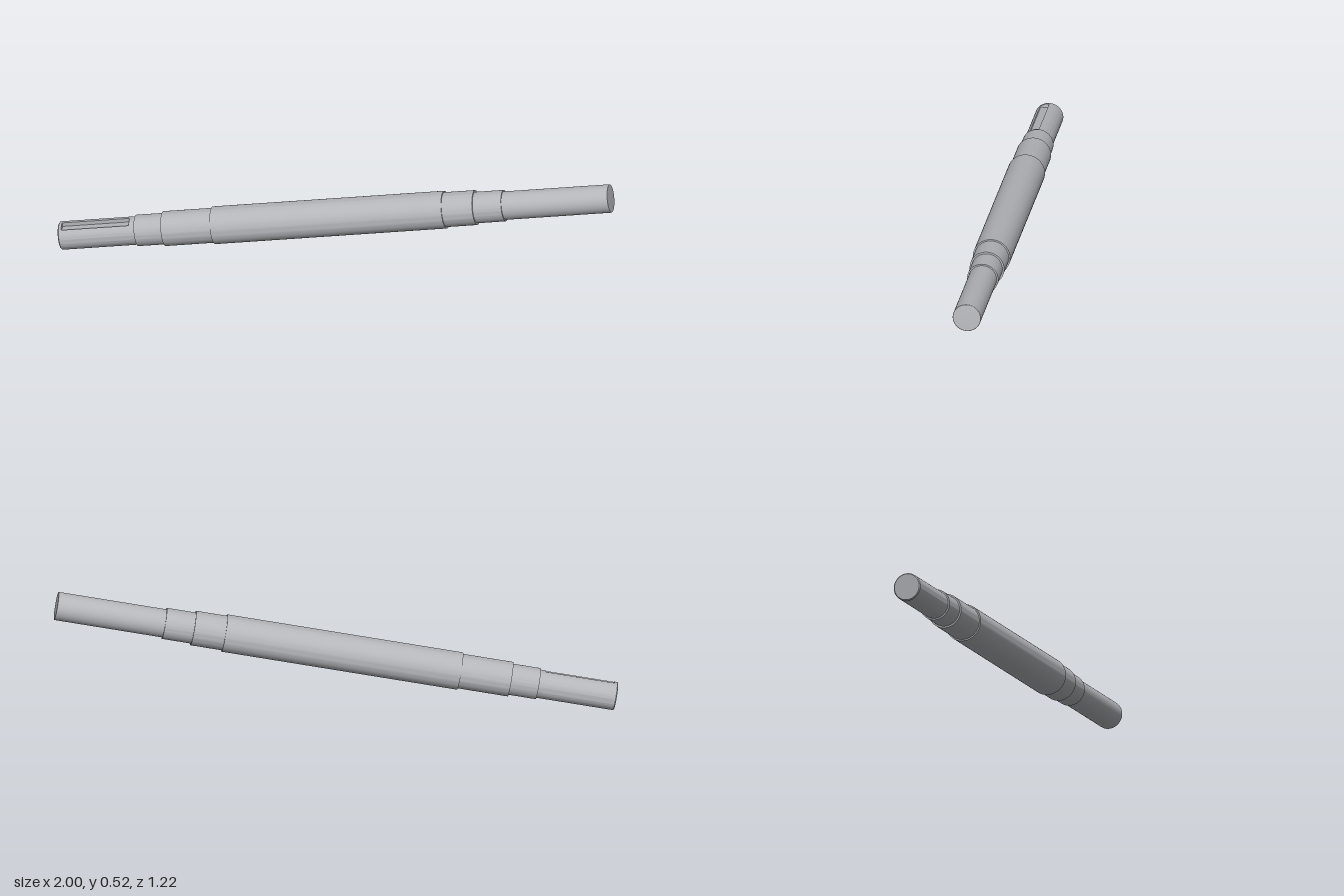
import * as THREE from 'three';
import { toCreasedNormals } from 'three/addons/utils/BufferGeometryUtils.js';

const SIDES = 64;
const R = 0.057; // journal radius at both ends
const HALF = 1.14; // half of the shaft length

function turned(points) {
  return new THREE.LatheGeometry(points.map(([r, y]) => new THREE.Vector2(r, y)), SIDES);
}

export function createModel() {
  const steel = new THREE.MeshStandardMaterial({ color: 0xb4b6ba });
  steel.name = 'steel';
  const shaft = new THREE.Group();
  shaft.name = 'steppedShaft';

  const add = (name, geometry) => {
    const mesh = new THREE.Mesh(geometry, steel);
    mesh.name = name;
    shaft.add(mesh);
    return mesh;
  };

  // Low end tip with a small chamfer
  const slotStart = -1.125, slotEnd = -0.845;
  add('chamferedTip', toCreasedNormals(turned([
    [0, -HALF], [R - 0.004, -HALF], [R, -HALF + 0.004], [R, slotStart], [0, slotStart],
  ]), 0.5));

  // Keyed journal: round section with a notch cut in its upper side
  const floor = 0.041, near = 0.034;
  const section = new THREE.Shape();
  section.moveTo(0, floor);
  section.lineTo(0, R);
  section.absarc(0, 0, R, Math.PI / 2, Math.PI * 2 + Math.atan2(floor, near), false);
  section.lineTo(near, floor);
  section.closePath();
  const keyed = new THREE.ExtrudeGeometry(section, {
    depth: slotEnd - slotStart, bevelEnabled: false, curveSegments: SIDES,
  });
  keyed.rotateX(Math.PI / 2);
  add('keyedJournal', toCreasedNormals(keyed, 0.5)).position.y = slotEnd;

  // Shoulders stepping up to the main body and down again
  const steps = [
    [R, slotEnd, -0.823], [0.063, -0.823, -0.71], [0.070, -0.71, -0.505],
    [0.0757, -0.505, 0.455], [0.070, 0.455, 0.582], [0.063, 0.582, 0.70],
  ];
  const profile = [[0, slotEnd]];
  for (const [r, from, to] of steps) profile.push([r, from], [r, to]);
  profile.push([R, 0.70]);
  add('shoulders', toCreasedNormals(turned(profile), 0.5));

  // High end journal, softly shaded over its end face
  add('plainJournal', turned([[R, 0.70], [R, HALF - 0.008], [R, HALF - 0.002], [R - 0.002, HALF], [0, HALF]]));

  // Lean the shaft: local Y runs along it, local Z is its upper side
  const along = new THREE.Vector3(1.94, 0.408, -1.126).normalize();
  const side = new THREE.Vector3(-along.z, 0, along.x).normalize();
  const up = new THREE.Vector3().crossVectors(side, along);
  shaft.quaternion.setFromRotationMatrix(new THREE.Matrix4().makeBasis(side, along, up));
  shaft.position.y = 0.26;

  const model = new THREE.Group();
  model.name = 'model';
  model.add(shaft);
  return model;
}
